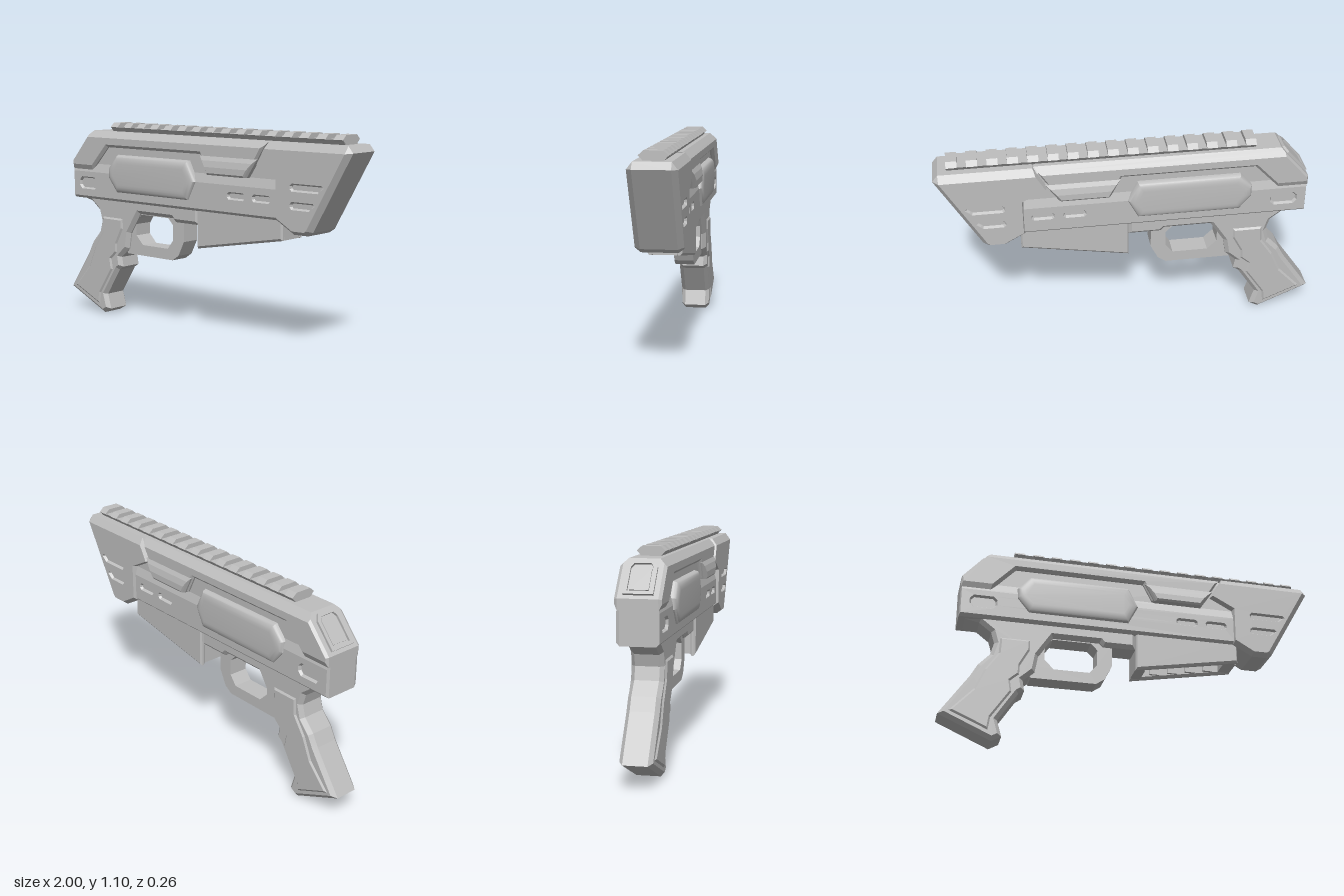
import * as THREE from 'three';
import { toCreasedNormals } from 'three/addons/utils/BufferGeometryUtils.js';

const grey = new THREE.MeshStandardMaterial({ color: 0xbebebe });
grey.name = 'grey';

// Moves each edge of a counter-clockwise outline inwards by d (a number or one value per edge).
function inset(pts, d) {
  const n = pts.length;
  const normal = (i) => {
    const [a, b] = [pts[i], pts[(i + 1) % n]];
    const l = Math.hypot(b[0] - a[0], b[1] - a[1]);
    return [-(b[1] - a[1]) / l, (b[0] - a[0]) / l];
  };
  const amount = (i) => (Array.isArray(d) ? d[i] : d);
  return pts.map((p, i) => {
    const k = (i + n - 1) % n;
    const [u, v, du, dv] = [normal(k), normal(i), amount(k), amount(i)];
    const det = u[0] * v[1] - u[1] * v[0];
    return [p[0] + (du * v[1] - dv * u[1]) / det, p[1] + (u[0] * dv - v[0] * du) / det];
  });
}

// Solid symmetric about z = 0, lofted through [z, outline] rings; slots are sunk into both caps.
function slab(rings, slots = [], crease = 0.1) {
  const out = [];
  const tri = (a, b, c) => out.push(...a, ...b, ...c);
  const all = [...rings.map(([z, p]) => [-z, p]).reverse(), ...rings];
  const wall = (p, z0, q, z1, flip) => p.forEach((a, i) => {
    const j = (i + 1) % p.length;
    const [A, B, C, D] = [[...a, z0], [...p[j], z0], [...q[j], z1], [...q[i], z1]];
    if (flip) { tri(A, C, B); tri(A, D, C); } else { tri(A, B, C); tri(A, C, D); }
  });
  const cap = (outline, holes, z, up) => {
    const vec = (l) => l.map((p) => new THREE.Vector2(...p));
    const flat = [outline, ...holes].flat();
    for (const f of THREE.ShapeUtils.triangulateShape(vec(outline), holes.map(vec))) {
      const [a, b, c] = f.map((i) => flat[i]);
      const ccw = (b[0] - a[0]) * (c[1] - a[1]) - (b[1] - a[1]) * (c[0] - a[0]) > 0;
      const [A, B, C] = [a, b, c].map((p) => [...p, z]);
      if (ccw === up) tri(A, B, C); else tri(A, C, B);
    }
  };
  for (let k = 0; k + 1 < all.length; k++) wall(all[k][1], all[k][0], all[k + 1][1], all[k + 1][0]);
  const [zTop, top] = rings[rings.length - 1];
  for (const s of [1, -1]) {
    cap(top, slots, s * zTop, s > 0);
    for (const slot of slots) {
      const floor = inset(slot, 0.008), zf = s * (zTop - 0.014);
      wall(slot, s * zTop, floor, zf, s < 0);
      cap(floor, [], zf, s > 0);
    }
  }
  const g = new THREE.BufferGeometry();
  g.setAttribute('position', new THREE.Float32BufferAttribute(out, 3));
  return toCreasedNormals(g, crease);
}

// Oblong slot outline with cut corners; slant pushes the upper front corner forwards.
const slot = (x0, x1, y0, y1, slant = 0) => {
  const c = (y1 - y0) * 0.3;
  return [[x0 + c, y0], [x1 - c, y0], [x1, y0 + c], [x1 + slant, y1 - c],
    [x1 + slant - c, y1], [x0 + c, y1], [x0, y1 - c], [x0, y0 + c]];
};

const shapeOf = (pts) => new THREE.Shape(pts.map((p) => new THREE.Vector2(...p)));

function frameGeometry(outer, hole, depth) {
  const s = shapeOf(outer);
  s.holes.push(new THREE.Path(hole.map((p) => new THREE.Vector2(...p))));
  return new THREE.ExtrudeGeometry(s, { depth, bevelEnabled: false });
}

export function createModel() {
  const model = new THREE.Group();
  const add = (name, geometry, x = 0, y = 0, z = 0) => {
    const m = new THREE.Mesh(geometry, grey);
    m.name = name;
    m.position.set(x, y, z);
    model.add(m);
    return m;
  };

  // Inner body, and the lower body with a sloping shoulder
  const core = [[-0.925, 0.68], [0.57, 0.68], [0.57, 1.05], [-0.78, 1.05], [-0.925, 0.885]];
  add('innerBody', slab([[0.07, core], [0.088, inset(core, [0, 0, 0.03, 0.005, 0])]]));
  const lower = [[-0.93, 0.665], [0.57, 0.665], [0.57, 0.875], [-0.93, 0.875]];
  add('lowerBody', slab([[0.086, lower], [0.102, inset(lower, [0.015, 0, 0.055, 0.006])]],
    [slot(-0.88, -0.735, 0.72, 0.79), slot(0.235, 0.355, 0.745, 0.785), slot(0.4, 0.52, 0.745, 0.785)]));

  // Upper shell overhanging the body
  const shell = [[-0.93, 0.83], [-0.775, 0.83], [-0.645, 0.968], [0.05, 0.968], [0.1, 0.87],
    [0.375, 0.87], [0.49, 1.056], [-0.78, 1.056], [-0.93, 0.885]];
  add('upperShell', slab([
    [0.075, shell],
    [0.097, inset(shell, [0, 0, 0, 0, 0, 0, 0.021, 0, 0])],
    [0.112, inset(shell, [0.03, 0.015, 0.015, 0.015, 0.015, 0.01, 0.036, 0.01, 0.01])],
  ]));

  // Front section with slanted nose and chamfered upper tip
  const nose = [[0.555, 0.665], [0.66, 0.605], [0.745, 0.605], [0.775, 0.625], [0.998, 1.022], [0.97, 1.056],
    [0.5, 1.056], [0.43, 0.935], [0.555, 0.87]];
  add('frontSection', slab([
    [0.09, nose],
    [0.118, inset(nose, [0.02, 0.02, 0.02, 0.025, 0.0245, 0.037, 0.008, 0.008, 0.008])],
  ], [slot(0.65, 0.83, 0.82, 0.86, 0.022), slot(0.65, 0.78, 0.73, 0.77, 0.022)]));

  // Rounded side pods
  const pod = [[-0.635, 0.795], [-0.57, 0.715], [-0.03, 0.715], [0.025, 0.82], [-0.03, 0.93],
    [-0.57, 0.93], [-0.635, 0.855]];
  const podRings = [[0.085, pod]];
  for (let i = 0; i <= 5; i++) {
    const a = (i / 5) * Math.PI / 2;
    podRings.push([0.1 + 0.024 * Math.sin(a), inset(pod, 0.004 + 0.045 * (1 - Math.cos(a)))]);
  }
  add('sidePods', slab(podRings, [], 0.5));

  // Raised side blocks
  const block = [[0.11, 0.866], [0.375, 0.866], [0.44, 0.962], [0.06, 0.962]];
  add('sideBlocks', slab([
    [0.112, block],
    [0.124, inset(block, [0, 0.008, 0.022, 0.008])],
    [0.132, inset(block, [0.01, 0.015, 0.055, 0.015])],
  ]));

  // Top rail and its teeth
  const railPart = (pts, length) => {
    const g = new THREE.ExtrudeGeometry(shapeOf(pts), { depth: length, bevelEnabled: false });
    return g.rotateY(Math.PI / 2);
  };
  const railBase = [[-0.045, 1.05], [0.045, 1.05], [0.068, 1.08], [-0.068, 1.08]];
  const tooth = [[-0.045, 1.056], [0.045, 1.056], [0.071, 1.08], [0.045, 1.103], [-0.045, 1.103], [-0.071, 1.08]];
  add('rail', railPart(railBase, 1.575), -0.65);
  for (let i = 0; i < 16; i++) add('railTooth', railPart(tooth, 0.055), -0.65 + i * 0.1014);

  // Sloped frame on the rear
  const w = 0.072, h = 0.095;
  const outer = [[-w, -h], [w, -h], [w, 0.06], [0.05, h], [-0.05, h], [-w, 0.06]];
  const rear = new THREE.Group();
  rear.name = 'rearFrame';
  rear.add(new THREE.Mesh(frameGeometry(outer, inset(outer, 0.018), 0.014), grey));
  const rearPanel = new THREE.Mesh(new THREE.ExtrudeGeometry(shapeOf(inset(outer, 0.026)),
    { depth: 0.008, bevelEnabled: false }), grey);
  rearPanel.name = 'rearPanel';
  rear.add(rearPanel);
  const up = new THREE.Vector3(0.659, 0.752, 0).normalize();
  const side = new THREE.Vector3(0, 0, 1);
  rear.quaternion.setFromRotationMatrix(new THREE.Matrix4().makeBasis(side, up, side.clone().cross(up)));
  rear.position.set(-0.853, 0.97, 0);
  model.add(rear);

  // Grip and lower frame
  const grip = [[-1, 0.125], [-0.725, 0.002], [-0.675, 0.03], [-0.7, 0.115], [-0.6, 0.27], [-0.57, 0.29],
    [-0.58, 0.345], [-0.52, 0.4], [-0.505, 0.49], [-0.43, 0.605], [-0.18, 0.605], [-0.16, 0.585],
    [0.015, 0.585], [0.015, 0.76], [-0.91, 0.76], [-0.91, 0.668], [-0.82, 0.65], [-0.755, 0.6],
    [-0.737, 0.54], [-0.755, 0.475], [-0.815, 0.41], [-0.85, 0.345]];
  add('grip', slab([[0.06, grip], [0.08, inset(grip, 0.02)]]));

  // Raised grip panels
  const panel = [[-0.95, 0.14], [-0.745, 0.05], [-0.735, 0.12], [-0.635, 0.27], [-0.645, 0.33], [-0.6, 0.37],
    [-0.598, 0.42], [-0.55, 0.51], [-0.55, 0.57], [-0.71, 0.57], [-0.715, 0.48], [-0.78, 0.385], [-0.83, 0.27]];
  add('gripPanels', slab([[0.078, panel], [0.088, inset(panel, 0.012)]]));

  // Guard loop
  add('guardLoop', frameGeometry(
    [[-0.57, 0.44], [-0.54, 0.37], [-0.195, 0.37], [-0.15, 0.4], [-0.11, 0.48], [-0.11, 0.61], [-0.57, 0.61]],
    [[-0.47, 0.55], [-0.43, 0.6], [-0.225, 0.6], [-0.19, 0.565], [-0.19, 0.48], [-0.23, 0.43], [-0.42, 0.43], [-0.47, 0.48]],
    0.106), 0, 0, -0.053);

  // Hollow fore-end: side plates, roof, end blocks and ribs along the inner walls
  const cheek = [[0.013, 0.462], [0.58, 0.563], [0.58, 0.69], [0.013, 0.69]];
  for (const s of [1, -1]) {
    add('foreEndSide', slab([[0.006, cheek], [0.016, inset(cheek, [0.012, 0.008, 0, 0.008])]]), 0, 0, s * 0.071);
  }
  const box = (name, x0, x1, y0, y1, z0, z1) => add(name, new THREE.BoxGeometry(x1 - x0, y1 - y0, z1 - z0),
    (x0 + x1) / 2, (y0 + y1) / 2, (z0 + z1) / 2);
  box('foreEndRoof', 0.02, 0.57, 0.6, 0.68, -0.06, 0.06);
  box('foreEndRear', 0.016, 0.07, 0.472, 0.68, -0.06, 0.06);
  box('foreEndFront', 0.51, 0.577, 0.563, 0.68, -0.06, 0.06);
  for (let i = 0; i < 4; i++) {
    const x = 0.12 + i * 0.1;
    for (const z of [-0.058, 0.04]) box('foreEndRib', x, x + 0.055, 0.48 + 0.176 * x, 0.62, z, z + 0.018);
  }
  return model;
}
